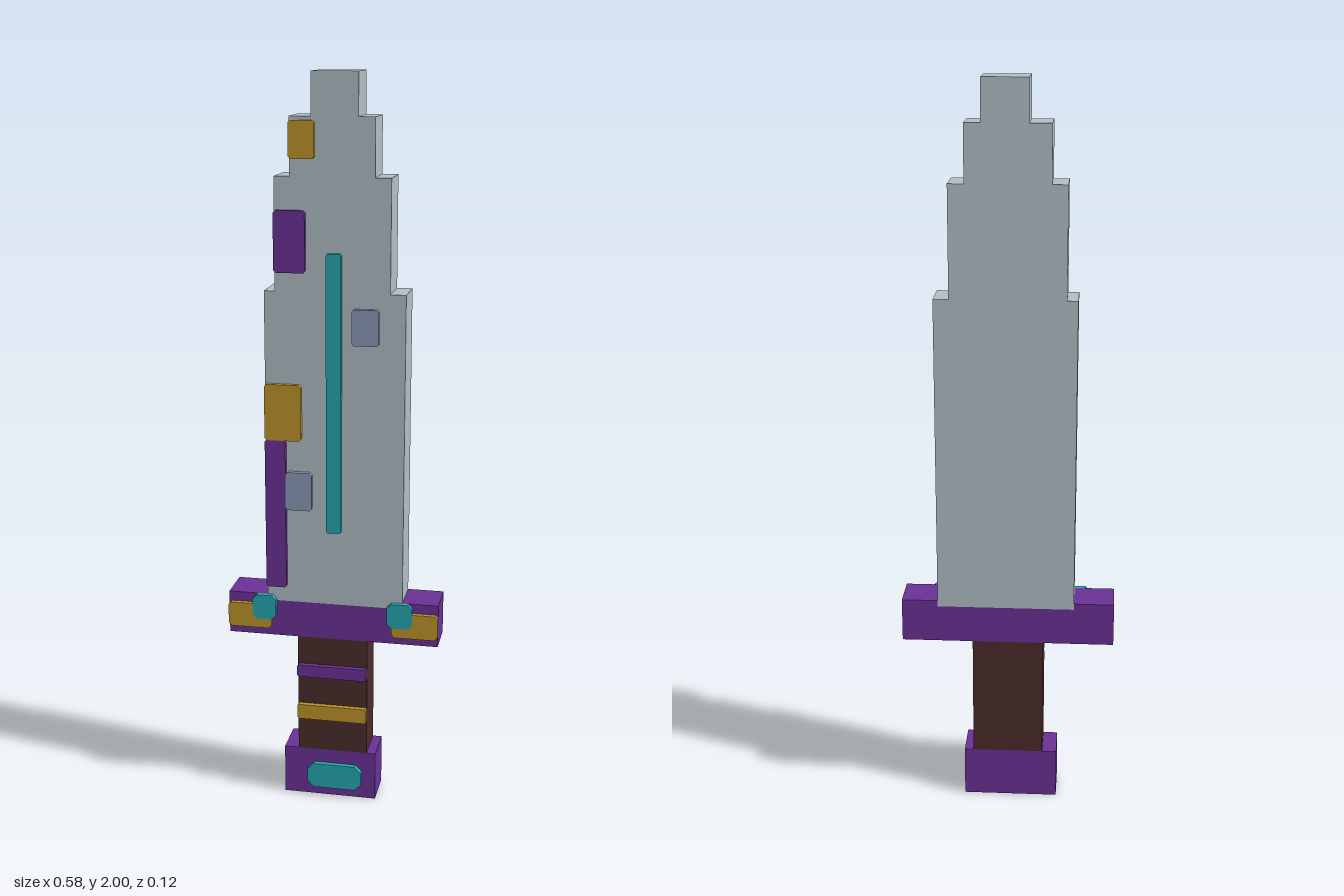
import * as THREE from 'three';

const BACK = -0.062, FRONT = 0.048, RAISED = 0.062;

const material = (name, color) => {
  const m = new THREE.MeshStandardMaterial({ color });
  m.name = name;
  return m;
};

// Flat outline pushed from z0 to z1
function slab(name, points, z0, z1, mat) {
  const shape = new THREE.Shape(points.map(([x, y]) => new THREE.Vector2(x, y)));
  const geometry = new THREE.ExtrudeGeometry(shape, { depth: z1 - z0, bevelEnabled: false });
  geometry.translate(0, 0, z0);
  const mesh = new THREE.Mesh(geometry, mat);
  mesh.name = name;
  return mesh;
}

// Rectangle outline, optionally with clipped corners
function rect(x0, x1, y0, y1, c = 0) {
  if (!c) return [[x0, y0], [x1, y0], [x1, y1], [x0, y1]];
  return [
    [x0 + c, y0], [x1 - c, y0], [x1, y0 + c], [x1, y1 - c],
    [x1 - c, y1], [x0 + c, y1], [x0, y1 - c], [x0, y0 + c],
  ];
}

export function createModel() {
  const steel = material('steel', 0xb0bec5);
  const purple = material('purple', 0x6a3196);
  const gold = material('gold', 0xc0952b);
  const teal = material('teal', 0x24a8b0);
  const slate = material('slate', 0x8a9bb8);
  const brown = material('brown', 0x4a2c2a);

  const sword = new THREE.Group();
  sword.name = 'sword';

  // Stepped blade: left edge, right edge and top of each step
  const steps = [
    [-0.182, 0.193, 1.445], [-0.153, 0.152, 1.74],
    [-0.112, 0.11, 1.89], [-0.055, 0.067, 2],
  ];
  const right = [], left = [];
  let y = 0.583;
  for (const [x0, x1, top] of steps) {
    right.push([x1, y], [x1, top]);
    left.unshift([x0, top], [x0, y]);
    y = top;
  }
  sword.add(slab('blade', [...right, ...left], BACK, FRONT, steel));

  // Guard with a shallow seat for the blade, then grip and pommel
  sword.add(slab('guard', [
    [-0.292, 0.48], [0.292, 0.48], [0.292, 0.6], [0.193, 0.6],
    [0.193, 0.583], [-0.182, 0.583], [-0.182, 0.6], [-0.292, 0.6],
  ], BACK, FRONT, purple));
  sword.add(slab('grip', rect(-0.098, 0.097, 0.14, 0.48), BACK, FRONT, brown));
  sword.add(slab('pommel', rect(-0.138, 0.122, 0, 0.14), BACK, FRONT, purple));

  // Raised plates on the front: name, colour, x0, x1, y0, y1, corner clip
  const plates = [
    ['bladeRune', teal, -0.015, 0.025, 0.793, 1.547, 0.004],
    ['tipPlate', gold, -0.112, -0.045, 1.785, 1.88, 0.006],
    ['upperEdgePlate', purple, -0.153, -0.07, 1.495, 1.655, 0.006],
    ['upperChip', slate, 0.053, 0.124, 1.31, 1.405, 0.005],
    ['middleEdgePlate', gold, -0.182, -0.083, 1.045, 1.198, 0.006],
    ['lowerEdgeStrip', purple, -0.182, -0.126, 0.628, 1.045, 0.005],
    ['lowerChip', slate, -0.126, -0.055, 0.852, 0.958, 0.006],
    ['gripBandUpper', purple, -0.098, 0.097, 0.365, 0.4, 0.004],
    ['gripBandLower', gold, -0.098, 0.097, 0.237, 0.28, 0.004],
    ['pommelGem', teal, -0.07, 0.083, 0.027, 0.1, 0.018],
    ['guardPlateRight', gold, -0.292, -0.17, 0.503, 0.573, 0.008],
    ['guardPlateLeft', gold, 0.165, 0.292, 0.503, 0.573, 0.008],
    ['guardGemRight', teal, -0.223, -0.157, 0.53, 0.6, 0.012],
    ['guardGemLeft', teal, 0.152, 0.222, 0.53, 0.6, 0.012],
  ];
  for (const [name, mat, x0, x1, y0, y1, c] of plates) {
    const z = name.startsWith('guardPlate') ? RAISED - 0.001 : RAISED;
    sword.add(slab(name, rect(x0, x1, y0, y1, c), FRONT, z, mat));
  }

  return sword;
}
